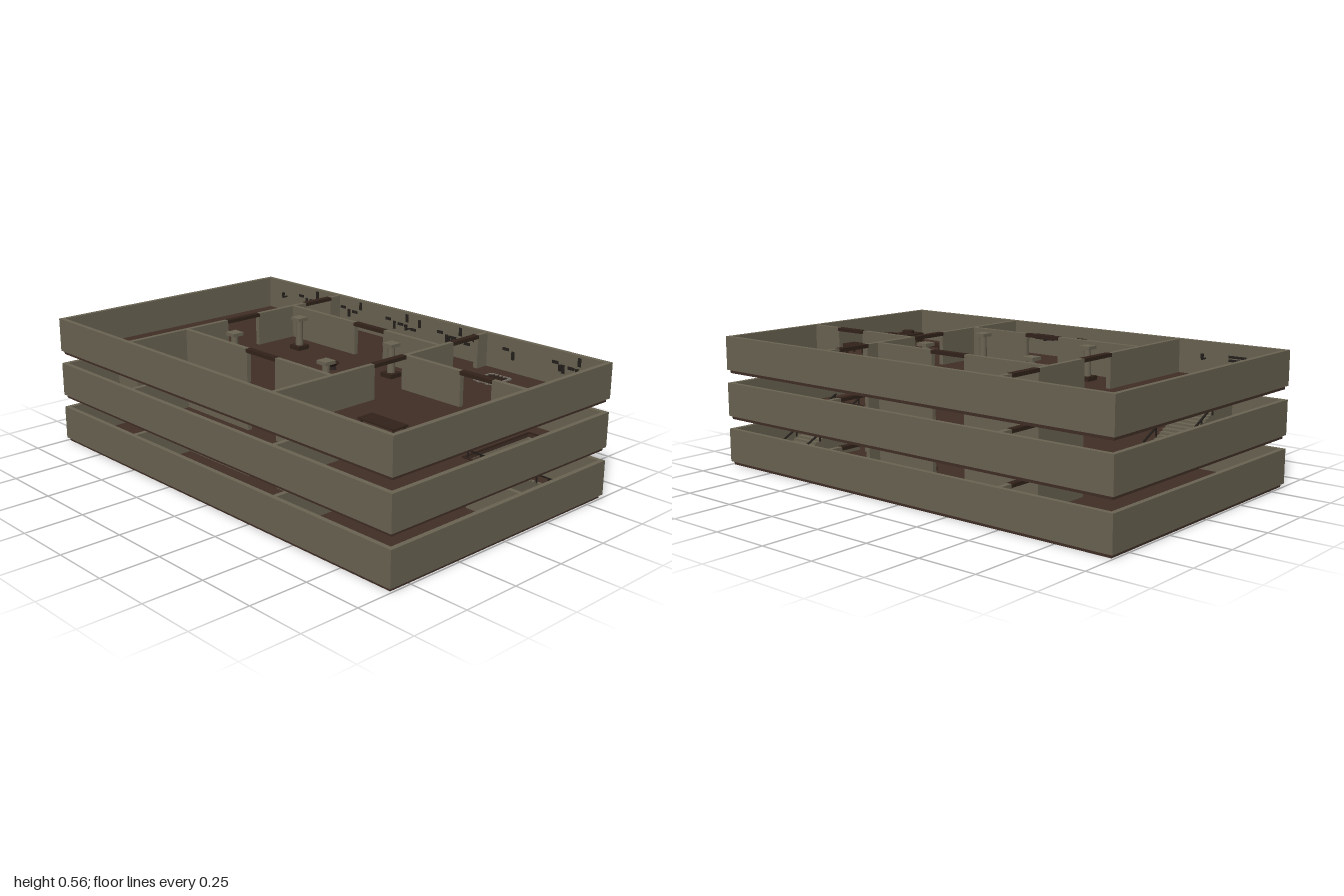
import * as THREE from 'three';

const mat = (name, color) => Object.assign(new THREE.MeshStandardMaterial({ color }), { name });

export function createModel() {
  const stone = mat('stone', 0x6a6352), floorBrown = mat('floor brown', 0x402e26);
  const darkWood = mat('dark wood', 0x32231b), iron = mat('iron', 0x25201c), paleMetal = mat('pale metal', 0x77736a);
  const model = new THREE.Group();
  model.name = 'threeStoreyBuilding';
  const PITCH = 0.2, SLAB = 0.016, TOP = 0.157;

  const group = (name, parent, y = 0) => {
    const g = new THREE.Group();
    g.name = name;
    g.position.y = y;
    parent.add(g);
    return g;
  };
  const add = (parent, name, geo, m, x, y, z) => {
    const mesh = new THREE.Mesh(geo, m);
    mesh.name = name;
    mesh.position.set(x, y, z);
    parent.add(mesh);
    return mesh;
  };
  // Box given by its centre in plan and its bottom and top heights
  const box = (parent, name, m, x, z, w, d, y0, y1) =>
    add(parent, name, new THREE.BoxGeometry(w, y1 - y0, d), m, x, (y0 + y1) / 2, z);
  const cyl = (parent, name, m, x, z, r0, r1, y0, y1, sides = 16) =>
    add(parent, name, new THREE.CylinderGeometry(r1, r0, y1 - y0, sides), m, x, (y0 + y1) / 2, z);

  // Floor slab with an optional stair opening [x0, x1, z0, z1]
  function slab(parent, hole) {
    const s = new THREE.Shape();
    s.moveTo(-0.99, -0.59).lineTo(0.99, -0.59).lineTo(0.99, 0.59).lineTo(-0.99, 0.59).closePath();
    if (hole) {
      const [x0, x1, z0, z1] = hole, h = new THREE.Path();
      h.moveTo(x0, -z0).lineTo(x1, -z0).lineTo(x1, -z1).lineTo(x0, -z1).closePath();
      s.holes.push(h);
    }
    const geo = new THREE.ExtrudeGeometry(s, { depth: SLAB, bevelEnabled: false });
    geo.rotateX(-Math.PI / 2);
    add(parent, 'floorSlab', geo, floorBrown, 0, 0, 0);
  }

  // Inner wall along x or z, broken by doorways with dark lintels
  function innerWall(parent, axis, at, from, to, doors) {
    const piece = (name, m, a, b, t, y0, y1) => axis === 'x'
      ? box(parent, name, m, (a + b) / 2, at, b - a, t, y0, y1)
      : box(parent, name, m, at, (a + b) / 2, t, b - a, y0, y1);
    let start = from;
    for (const [a, b] of doors) {
      piece('innerWall', stone, start, a, 0.02, SLAB, TOP);
      piece('doorLintel', darkWood, a - 0.002, b + 0.002, 0.027, TOP - 0.014, TOP + 0.001);
      start = b;
    }
    piece('innerWall', stone, start, to, 0.02, SLAB, TOP);
  }

  function pillar(parent, x, z) {
    const p = group('pillar', parent);
    box(p, 'pillarBase', darkWood, x, z, 0.06, 0.06, SLAB, 0.034);
    cyl(p, 'pillarShaft', stone, x, z, 0.017, 0.015, 0.034, TOP - 0.014, 12);
    box(p, 'pillarCapital', stone, x, z, 0.052, 0.052, TOP - 0.014, TOP);
  }

  // Straight stair rising toward +z, with a rail on each side
  function stairs(parent, x, z0) {
    const s = group('stairs', parent), n = 20, len = 0.4;
    const run = len / n, rise = PITCH / n, shape = new THREE.Shape();
    shape.moveTo(0, 0);
    for (let i = 0; i < n; i++) {
      shape.lineTo(i * run, (i + 1) * rise);
      shape.lineTo((i + 1) * run, (i + 1) * rise);
    }
    shape.lineTo(len, 0);
    const geo = new THREE.ExtrudeGeometry(shape, { depth: 0.14, bevelEnabled: false });
    geo.rotateY(-Math.PI / 2);
    add(s, 'steps', geo, stone, x + 0.07, SLAB - 0.002, z0);
    for (const side of [-1, 1]) {
      const rx = x + side * 0.076, lift = 0.05;
      const rail = add(s, 'handrail', new THREE.BoxGeometry(0.007, 0.006, Math.hypot(len, PITCH)), iron,
        rx, SLAB + PITCH / 2 + lift - 0.014, z0 + len / 2);
      rail.rotation.x = -Math.atan2(PITCH, len);
      for (let i = 0; i <= 5; i++) {
        const d = 0.005 + i * 0.078, y = SLAB + d / 2;
        box(s, 'baluster', iron, rx, z0 + d, 0.005, 0.005, y, y + lift - 0.014);
      }
    }
  }

  function table(parent, name, x, z, w, d, h) {
    const t = group(name, parent);
    box(t, 'tableTop', darkWood, x, z, w, d, SLAB + h - 0.007, SLAB + h);
    for (const i of [-1, 1]) for (const j of [-1, 1])
      box(t, 'tableLeg', darkWood, x + i * (w / 2 - 0.01), z + j * (d / 2 - 0.01), 0.008, 0.008, SLAB, SLAB + h - 0.007);
  }

  const holes = [null, [0.7, 0.89, -0.5, -0.1], [-0.89, -0.7, 0, 0.4]];
  const sideDoors = [[-0.52, -0.37], [-0.09, 0.08]];
  for (let level = 0; level < 3; level++) {
    const f = group('storey' + (level + 1), model, level * PITCH);
    slab(f, holes[level]);
    // Outer walls
    for (const s of [-1, 1]) {
      box(f, 'longOuterWall', stone, 0, s * 0.59, 2, 0.02, SLAB - 0.002, TOP + 0.001);
      box(f, 'shortOuterWall', stone, s * 0.99, 0, 0.02, 1.16, SLAB - 0.002, TOP + 0.001);
    }
    // Room partitions
    for (const x of [-0.495, 0.39]) innerWall(f, 'z', x, -0.58, 0.58, sideDoors);
    for (const z of [-0.3, 0.295]) innerWall(f, 'x', z, -0.485, 0.38, [[-0.09, 0.08]]);
    if (level !== 1) innerWall(f, 'x', -0.1, 0.4, 0.98, [[0.68, 0.83]]);
    for (const x of [-0.32, 0.235]) for (const z of [-0.18, 0.18]) pillar(f, x, z);
    // Thin border round the stair opening
    if (holes[level]) {
      const [x0, x1, z0, z1] = holes[level], y = SLAB + 0.005;
      for (const x of [x0, x1]) box(f, 'openingBorder', darkWood, x, (z0 + z1) / 2, 0.008, z1 - z0, SLAB, y);
      for (const z of [z0, z1]) box(f, 'openingBorder', darkWood, (x0 + x1) / 2, z, x1 - x0, 0.008, SLAB, y);
    }
  }
  stairs(model.children[0], 0.795, -0.5);
  stairs(model.children[1], -0.795, 0);

  // Kitchen on the top storey
  const top = model.children[2];
  table(top, 'kitchenTable', 0.67, 0.31, 0.18, 0.075, 0.038);
  table(top, 'sideTable', 0.91, 0.033, 0.075, 0.115, 0.045);
  const stove = group('stove', top);
  box(stove, 'stoveBody', darkWood, 0.91, 0.35, 0.095, 0.235, SLAB, 0.07);
  for (const z of [0.29, 0.41]) cyl(stove, 'stovePot', darkWood, 0.91, z, 0.028, 0.028, 0.07, 0.083, 20);

  // Floor grate with crossed bars and two hinges
  const grate = group('floorGrate', top);
  box(grate, 'gratePit', iron, 0.545, -0.445, 0.1, 0.11, SLAB, SLAB + 0.002);
  for (let i = 0; i < 6; i++) {
    const edge = i === 0 || i === 5, m = edge ? paleMetal : darkWood, t = edge ? 0.008 : 0.004;
    box(grate, 'grateBar', m, 0.495 + i * 0.02, -0.445, t, 0.11, SLAB, SLAB + 0.006);
    box(grate, 'grateBar', m, 0.545, -0.5 + i * 0.022, 0.1, t, SLAB, SLAB + 0.006);
  }
  for (const x of [0.525, 0.57]) box(grate, 'grateHinge', paleMetal, x, -0.385, 0.014, 0.012, SLAB, SLAB + 0.006);

  // Small brazier in the hall
  const brazier = group('brazier', top);
  cyl(brazier, 'brazierFoot', iron, 0, -0.075, 0.018, 0.01, SLAB, 0.03);
  cyl(brazier, 'brazierBowl', darkWood, 0, -0.075, 0.016, 0.03, 0.03, 0.045);

  // Wall lamps
  const lamp = (x, s) => {
    box(top, 'lampBracket', iron, x, s * 0.567, 0.006, 0.026, 0.085, 0.091);
    cyl(top, 'lampHead', iron, x, s * 0.555, 0.005, 0.008, 0.085, 0.11, 8);
  };
  for (const x of [-0.855, -0.04, 0.21, 0.79, 0.87]) lamp(x, -1);
  for (const x of [-0.63, -0.065, 0.02, 0.105, 0.19, 0.56]) lamp(x, 1);

  // Thin dark plaques: upright scraps on the back wall, wide panels on the front wall
  for (const [x0, n] of [[-0.75, 4], [-0.46, 4], [-0.17, 6], [0.14, 6], [0.5, 2], [0.75, 5]])
    for (let i = 0; i < n; i++) {
      const y = 0.07 + ((i * 7 + 3) % 5) * 0.011, tall = i % 2;
      box(top, 'wallPlaque', iron, x0 + i * 0.038, -0.578, tall ? 0.014 : 0.03, 0.004, y, y + (tall ? 0.035 : 0.012));
    }
  for (const [x, w] of [[0.21, 0.1], [0, 0.05], [-0.35, 0.08], [-0.78, 0.08]])
    for (const y of [0.085, 0.1]) box(top, 'wallPanel', iron, x, 0.578, w, 0.004, y, y + 0.01);
  return model;
}
